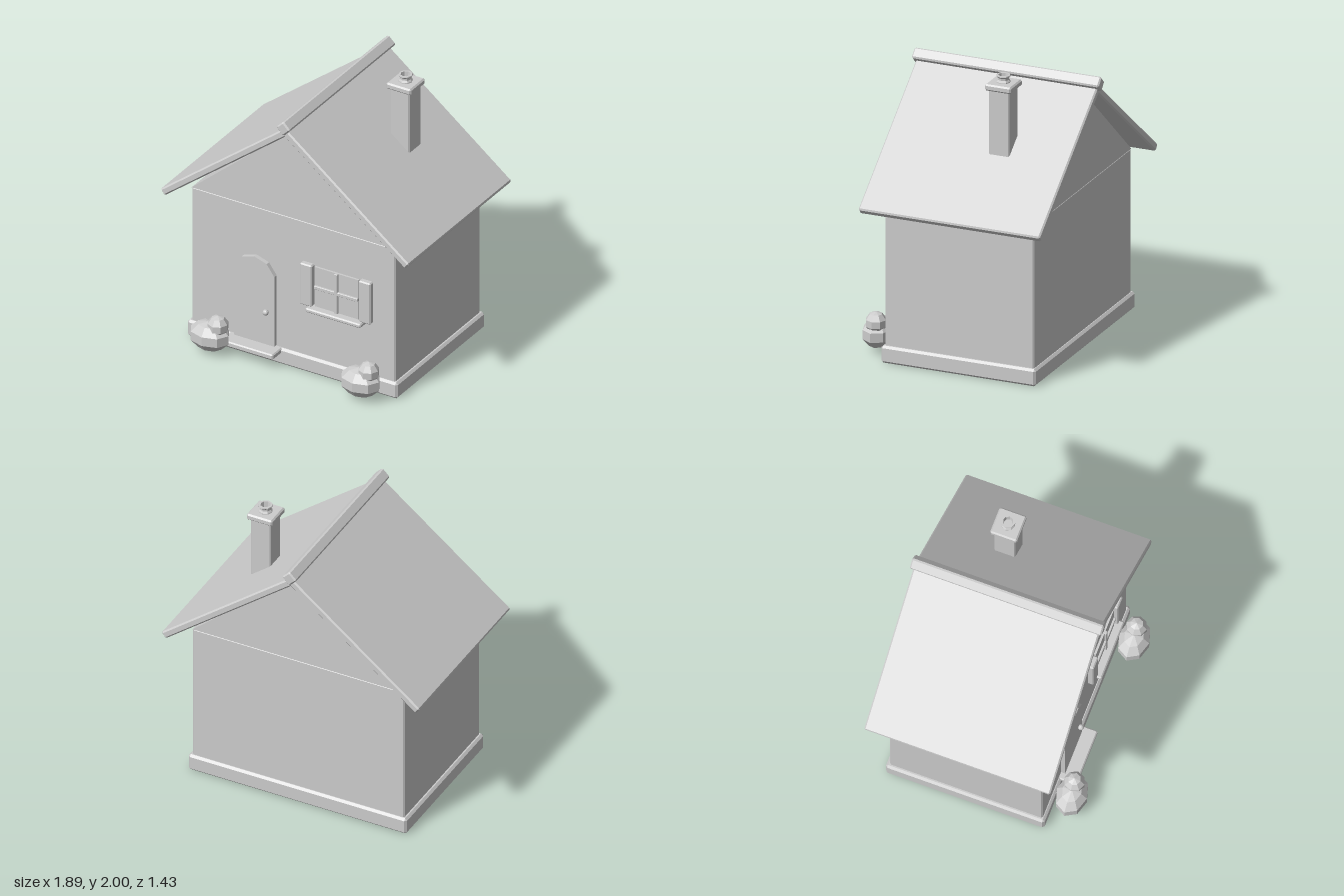
import * as THREE from 'three';
import { ConvexGeometry } from 'three/addons/geometries/ConvexGeometry.js';

const clay = new THREE.MeshStandardMaterial({ color: 0xcccccc, flatShading: true });
clay.name = 'light grey';

const MID_Z = -0.045; // centre of the house body along z

function add(parent, name, geometry, x = 0, y = 0, z = 0) {
  const mesh = new THREE.Mesh(geometry, clay);
  mesh.name = name;
  mesh.position.set(x, y, z);
  parent.add(mesh);
  return mesh;
}

// Box with chamfered edges
function chamferBox(w, h, d, b = 0.008) {
  const points = [];
  for (const sx of [-1, 1]) for (const sy of [-1, 1]) for (const sz of [-1, 1]) {
    for (let axis = 0; axis < 3; axis++) {
      const half = [w / 2, h / 2, d / 2].map((v, i) => (i === axis ? v : v - b));
      points.push(new THREE.Vector3(sx * half[0], sy * half[1], sz * half[2]));
    }
  }
  return new ConvexGeometry(points);
}

// Chamfered box given by its extents
function block(parent, name, x0, x1, y0, y1, z0, z1, b) {
  return add(parent, name, chamferBox(x1 - x0, y1 - y0, z1 - z0, b),
    (x0 + x1) / 2, (y0 + y1) / 2, (z0 + z1) / 2);
}

function extrude(points, depth) {
  const shape = new THREE.Shape(points.map(([x, y]) => new THREE.Vector2(x, y)));
  return new THREE.ExtrudeGeometry(shape, { depth, bevelEnabled: false });
}

function bush(parent, x) {
  const group = new THREE.Group();
  group.name = 'bush';
  group.position.set(x, 0, 0.615);
  parent.add(group);
  const low = add(group, 'lowerLeaves', new THREE.SphereGeometry(1, 8, 5), 0, 0.13, 0);
  low.scale.set(0.15, 0.105, 0.11);
  const top = add(group, 'upperLeaves', new THREE.SphereGeometry(1, 8, 5), 0.06, 0.215, -0.005);
  top.scale.set(0.074, 0.077, 0.074);
}

export function createModel() {
  const house = new THREE.Group();
  house.name = 'cottage';

  // Body
  block(house, 'foundation', -0.805, 0.805, 0, 0.12, -0.6, 0.51, 0.015);
  block(house, 'walls', -0.78, 0.78, 0.11, 1.125, -0.58, 0.49, 0.01);
  add(house, 'gable', extrude([[-0.78, 1.12], [0.78, 1.12], [0, 1.79]], 1.07), 0, 0, -0.58);

  // Roof: two sloping slabs and a diamond ridge beam
  const pitch = THREE.MathUtils.degToRad(38);
  for (const side of [-1, 1]) {
    const slab = add(house, 'roofSlab', chamferBox(1.19, 0.052, 1.3, 0.01), side * 0.468, 1.456, MID_Z);
    slab.rotation.z = -side * pitch;
  }
  const ridge = add(house, 'ridgeBeam', chamferBox(0.078, 0.078, 1.34, 0.01), 0, 1.86, MID_Z);
  ridge.rotation.z = Math.PI / 4;

  // Chimney
  block(house, 'chimneyStack', 0.362, 0.508, 1.42, 1.92, -0.28, -0.132);
  block(house, 'chimneyCap', 0.34, 0.53, 1.905, 1.95, -0.3, -0.112, 0.01);
  const pot = [[0.048, 1.945], [0.048, 1.955], [0.039, 1.968], [0.039, 1.982], [0.049, 1.993],
    [0.047, 2], [0.034, 2], [0.03, 1.96], [0, 1.96]].map(([r, y]) => new THREE.Vector2(r, y));
  add(house, 'chimneyPot', new THREE.LatheGeometry(pot, 8), 0.435, 0, -0.207);

  // Arched door with faceted top
  const outline = [[-0.155, 0.125], [0.155, 0.125], [0.155, 0.6]];
  for (const deg of [18, 54, 90, 126, 162]) {
    const a = THREE.MathUtils.degToRad(deg);
    outline.push([0.163 * Math.cos(a), 0.6 + 0.163 * Math.sin(a)]);
  }
  outline.push([-0.155, 0.6]);
  add(house, 'door', extrude(outline, 0.04), -0.283, 0, 0.48);
  add(house, 'doorKnob', new THREE.SphereGeometry(0.021, 8, 6), -0.185, 0.375, 0.535);
  block(house, 'doorstep', -0.483, -0.083, 0.08, 0.12, 0.48, 0.615);

  // Window
  add(house, 'windowPane', new THREE.BoxGeometry(0.335, 0.3, 0.03), 0.34, 0.662, 0.49);
  block(house, 'verticalBar', 0.328, 0.353, 0.512, 0.812, 0.49, 0.52, 0.003);
  block(house, 'horizontalBar', 0.173, 0.507, 0.652, 0.677, 0.49, 0.52, 0.003);
  for (const side of [-1, 1]) {
    const x = 0.34 + side * 0.225;
    block(house, 'shutter', x - 0.046, x + 0.046, 0.513, 0.824, 0.48, 0.528);
  }
  block(house, 'windowSill', 0.13, 0.555, 0.485, 0.516, 0.48, 0.56);

  // Bushes by the front wall
  bush(house, -0.565);
  bush(house, 0.59);

  return house;
}
